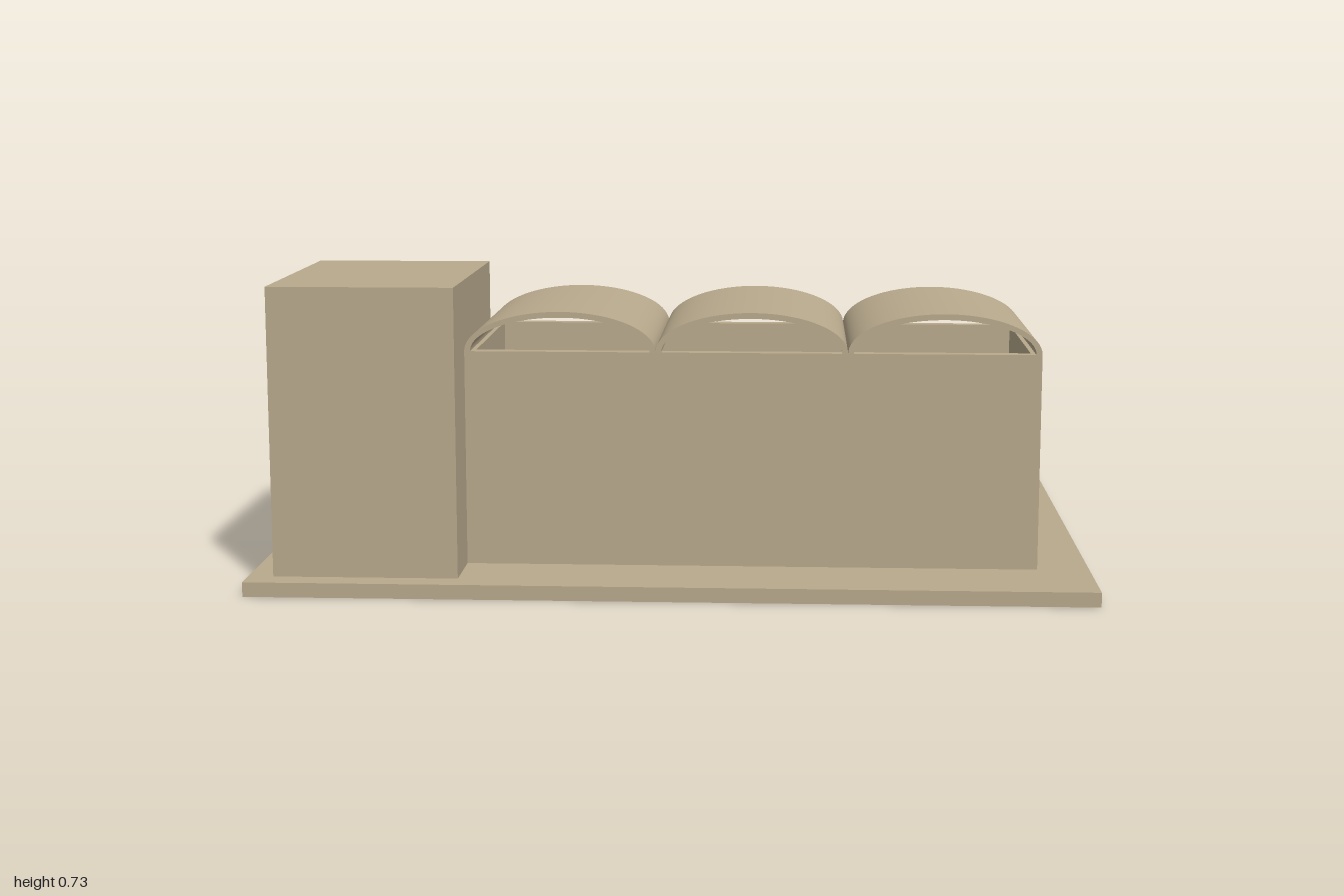
import * as THREE from 'three';

export function createModel() {
  const model = new THREE.Group();
  model.name = 'courtyardHouse';
  const clay = new THREE.MeshStandardMaterial({ color: 0xb9aa8d });
  clay.name = 'clay';

  const add = (name, geometry, parent = model) => {
    const mesh = new THREE.Mesh(geometry, clay);
    mesh.name = name;
    parent.add(mesh);
    return mesh;
  };
  // Box given by its lower and upper bounds
  const box = (name, x0, x1, y0, y1, z0, z1, parent) => {
    const g = new THREE.BoxGeometry(x1 - x0, y1 - y0, z1 - z0);
    g.translate((x0 + x1) / 2, (y0 + y1) / 2, (z0 + z1) / 2);
    return add(name, g, parent);
  };
  // Upright wall in the u/y plane with rectangular holes [u0, u1, y0, y1]
  const wallGeometry = (u0, u1, y0, y1, depth, holes) => {
    const rect = (P, a, b, c, d) => {
      const p = new P();
      p.moveTo(a, c); p.lineTo(b, c); p.lineTo(b, d); p.lineTo(a, d); p.closePath();
      return p;
    };
    const shape = rect(THREE.Shape, u0, u1, y0, y1);
    shape.holes = holes.map(h => rect(THREE.Path, ...h));
    return new THREE.ExtrudeGeometry(shape, { depth, bevelEnabled: false });
  };
  const post = (name, x, z, y0, y1, w = 0.025) =>
    box(name, x - w / 2, x + w / 2, y0, y1, z - w / 2, z + w / 2);
  // Jambs and lintel around a door in a back wall
  const doorFrame = (x0, x1, y0, y1, z) => {
    const g = new THREE.Group();
    g.name = 'doorFrame';
    model.add(g);
    for (const x of [x0, x1]) box('doorJamb', x - 0.01, x + 0.01, y0, y1, z - 0.012, z + 0.02, g);
    box('doorLintel', x0 - 0.01, x1 + 0.01, y1, y1 + 0.02, z - 0.012, z + 0.02, g);
    box('doorLeaf', x0, x1, y0, y1, z + 0.014, z + 0.022, g);
  };

  // Ground and paving
  const G = 0.035;
  box('ground', -1, 1, 0, G, -0.955, 0.955);
  box('patio', -0.5, 0.88, G, 0.042, -0.645, -0.04);
  box('verandaFloor', -0.5, 0.875, G, 0.047, -0.04, 0.163);
  box('porchFloor', -0.94, -0.5, G, 0.045, -0.39, 0.285);

  // Tower with a side window and a back door
  box('towerFront', -0.94, -0.5, G, 0.7, 0.865, 0.895);
  box('towerInnerSide', -0.53, -0.5, G, 0.7, 0.315, 0.865);
  const side = wallGeometry(-0.865, -0.315, G, 0.7, 0.03, [[-0.65, -0.51, 0.45, 0.55]]);
  side.rotateY(Math.PI / 2);
  side.translate(-0.94, 0, 0);
  add('towerOuterSide', side);
  for (const z of [0.51, 0.645]) box('windowJamb', -0.943, -0.91, 0.45, 0.55, z, z + 0.005);
  const towerBack = wallGeometry(-0.94, -0.5, G, 0.7, 0.03, [[-0.8, -0.65, 0.045, 0.34]]);
  towerBack.translate(0, 0, 0.285);
  add('towerBack', towerBack);
  doorFrame(-0.8, -0.65, 0.045, 0.34, 0.285);
  box('towerRoof', -0.94, -0.5, 0.7, 0.725, 0.285, 0.895);

  // Hall walls, open above to the vaults
  const eave = 0.555, bay = 1.375 / 3;
  box('hallFront', -0.5, 0.875, G, eave, 0.71, 0.74);
  box('hallRightSide', -0.5, -0.475, G, eave, 0.193, 0.71);
  box('hallLeftSide', 0.85, 0.875, G, eave, 0.193, 0.71);
  const centres = [0, 1, 2].map(i => -0.5 + bay * (i + 0.5));
  const doors = centres.map(c => [c - 0.11, c + 0.11, 0.047, 0.36]);
  const hallBack = wallGeometry(-0.5, 0.875, G, eave, 0.03, doors);
  hallBack.translate(0, 0, 0.163);
  add('hallBack', hallBack);
  doors.forEach(d => doorFrame(...d, 0.163));

  // Thin barrel vaults, open at both ends
  const vault = new THREE.Shape();
  vault.absellipse(0, 0, bay / 2, 0.096, 0, Math.PI, false);
  vault.lineTo(-bay / 2 + 0.014, 0);
  vault.absellipse(0, 0, bay / 2 - 0.014, 0.082, Math.PI, 0, true);
  vault.closePath();
  // Smooth normals follow the ellipse on the curved faces only
  const vaultGeometry = new THREE.ExtrudeGeometry(vault, { depth: 0.577, bevelEnabled: false, curveSegments: 28 });
  const p = vaultGeometry.attributes.position, n = vaultGeometry.attributes.normal;
  for (let i = 0; i < p.count; i++) {
    if (Math.abs(n.getZ(i)) > 0.5 || n.getY(i) < -0.99 && p.getY(i) < 0.001) continue;
    const v = new THREE.Vector3(p.getX(i) / (bay * bay / 4), p.getY(i) / 0.0092, 0).normalize();
    const s = v.x * n.getX(i) + v.y * n.getY(i) < 0 ? -1 : 1;
    n.setXYZ(i, v.x * s, v.y * s, 0);
  }
  for (const c of centres) add('roofVault', vaultGeometry).position.set(c, eave, 0.163);

  // Veranda roof, beams and two rows of posts
  box('verandaRoof', -0.503, 0.88, 0.478, 0.505, -0.042, 0.163);
  for (const [z, b] of [[-0.014, 0.452], [0.145, 0.456]]) {
    box('verandaBeam', -0.5, 0.875, b, 0.478, z - 0.017, z + 0.017);
    for (const x of [-0.48, -0.04, 0.418, 0.86]) post('verandaPost', x, z, 0.047, b);
  }

  // Porch roof, beams and posts behind the tower
  box('porchRoof', -0.945, -0.5, 0.445, 0.47, -0.39, 0.285);
  for (const z of [-0.365, 0.267]) {
    box('porchBeam', -0.94, -0.503, 0.42, 0.445, z - 0.017, z + 0.017);
    for (const x of [-0.924, -0.518]) post('porchPost', x, z, 0.045, 0.42, 0.027);
  }

  // Table with cups under the porch
  const table = new THREE.Group();
  table.name = 'table';
  model.add(table);
  box('tableTop', -0.88, -0.72, 0.135, 0.148, -0.162, -0.06, table);
  for (const x of [-0.868, -0.744]) for (const z of [-0.153, -0.083])
    box('tableLeg', x, x + 0.012, 0.045, 0.135, z, z + 0.013, table);
  for (const x of [-0.84, -0.8, -0.76])
    add('cup', new THREE.CylinderGeometry(0.009, 0.007, 0.018, 12), table).position.set(x, 0.157, -0.111);

  // Hanging lamp in the veranda
  add('lampCord', new THREE.CylinderGeometry(0.002, 0.002, 0.07, 6)).position.set(0.03, 0.443, 0.06);
  add('lamp', new THREE.CylinderGeometry(0.008, 0.012, 0.035, 12)).position.set(0.03, 0.39, 0.06);

  // Low garden wall with a tall portal
  const zs = [-0.75, -0.715];
  box('gardenWall', -0.465, 0.05, G, 0.137, ...zs);
  box('gardenWall', 0.33, 0.845, G, 0.137, ...zs);
  for (const x of [0.05, 0.303]) box('portalPost', x, x + 0.027, G, 0.405, ...zs);
  box('portalLintel', 0.05, 0.33, 0.405, 0.437, ...zs);

  return model;
}
